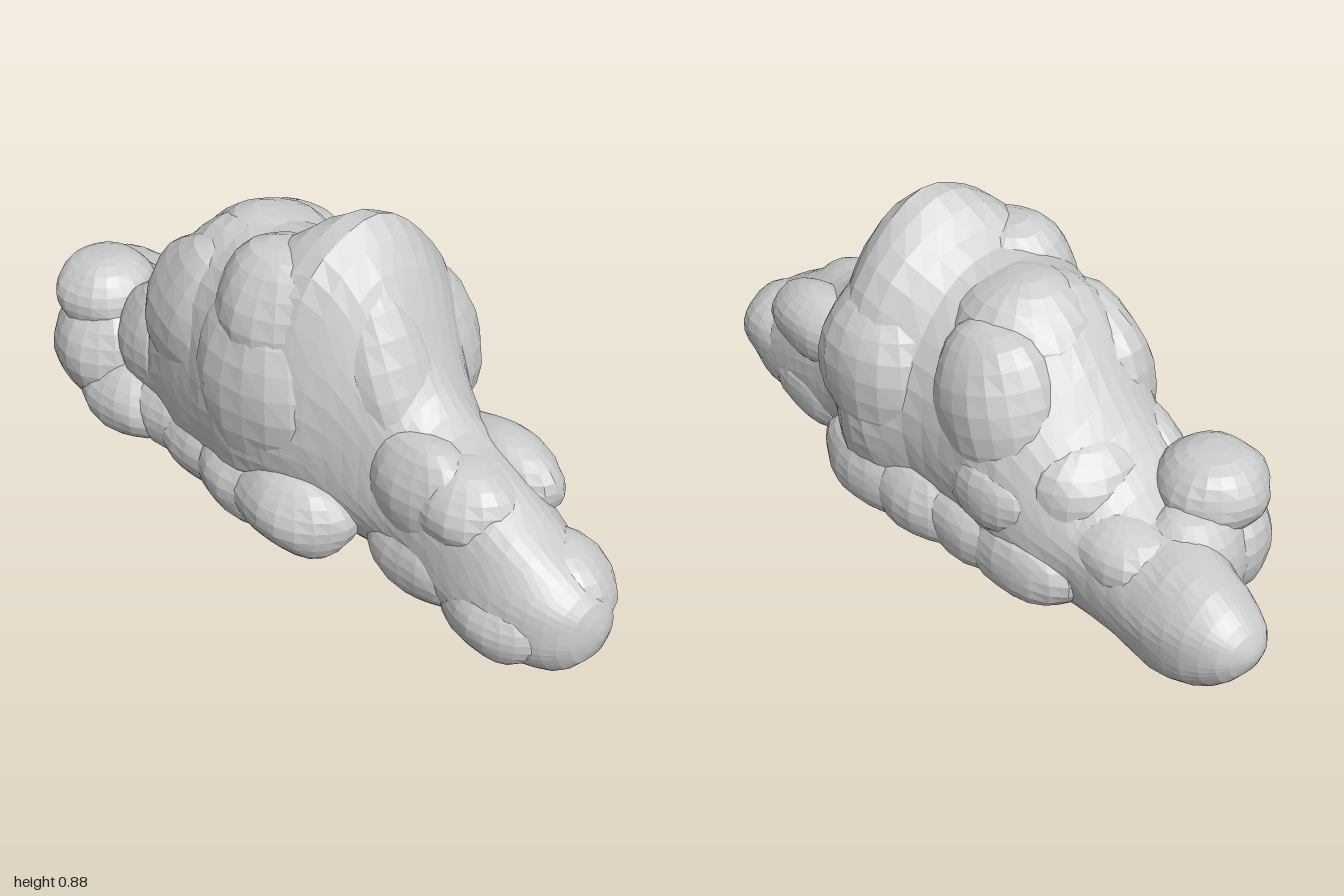
import * as THREE from 'three';

const material = new THREE.MeshStandardMaterial({ color: 0xcccccc, flatShading: true });

// Outline of the main mass from front to back: z, right, left, top, widest height, bottom
const stations = [
  [1, -0.01, 0.01, 0.16, 0.145, 0.13],
  [0.98, -0.08, 0.06, 0.225, 0.145, 0.07],
  [0.93, -0.13, 0.1, 0.27, 0.15, 0.025],
  [0.85, -0.165, 0.13, 0.325, 0.15, 0.008],
  [0.75, -0.18, 0.15, 0.385, 0.16, 0.015],
  [0.65, -0.18, 0.165, 0.435, 0.19, 0.025],
  [0.55, -0.175, 0.175, 0.465, 0.22, 0.035],
  [0.46, -0.17, 0.18, 0.53, 0.24, 0.035],
  [0.38, -0.185, 0.2, 0.65, 0.3, 0.035],
  [0.3, -0.22, 0.26, 0.79, 0.36, 0.03],
  [0.2, -0.27, 0.315, 0.885, 0.39, 0.03],
  [0.1, -0.305, 0.315, 0.855, 0.39, 0.04],
  [0, -0.32, 0.265, 0.785, 0.37, 0.045],
  [-0.12, -0.3, 0.25, 0.77, 0.35, 0.04],
  [-0.22, -0.285, 0.25, 0.755, 0.34, 0.035],
  [-0.32, -0.26, 0.245, 0.68, 0.31, 0.035],
  [-0.42, -0.24, 0.215, 0.555, 0.27, 0.025],
  [-0.52, -0.245, 0.185, 0.44, 0.24, 0.015],
  [-0.64, -0.2, 0.175, 0.36, 0.21, 0.012],
  [-0.77, -0.11, 0.18, 0.345, 0.19, 0.025],
  [-0.88, -0.07, 0.17, 0.32, 0.19, 0.06],
  [-0.96, -0.03, 0.135, 0.275, 0.2, 0.12],
  [-0.99, 0.01, 0.09, 0.235, 0.2, 0.165],
  [-1, 0.04, 0.06, 0.21, 0.2, 0.19],
];

// Skin over the smoothed stations, gently rippled, closed at both ends
function bodyGeometry() {
  const sides = 40;
  const ringCount = 2 * stations.length - 1;
  const outline = new THREE.CubicInterpolant(stations.map((_, i) => i), stations.flat(), 6);
  const positions = [];
  const index = [];
  for (let i = 0; i < ringCount; i++) {
    const [z, right, left, top, middle, bottom] = outline.evaluate(i / 2);
    for (let j = 0; j < sides; j++) {
      const a = (j / sides) * Math.PI * 2;
      const [c, s] = [Math.cos(a), Math.sin(a)];
      const ripple = 1 + 0.025 * Math.sin(5 * a + 9 * z) * Math.cos(14 * z + 2 * a);
      const height = s > 0 ? top - middle : middle - bottom;
      const wide = s > 0 ? c : Math.sign(c) * Math.abs(c) ** 0.8;
      const lean = s > 0 ? -0.07 * s * s * height : 0;
      positions.push((left + right) / 2 + (left - right) / 2 * wide * ripple + lean, middle + height * s * ripple, z);
      if (i + 1 < ringCount) {
        const [p, q] = [i * sides + j, i * sides + (j + 1) % sides];
        index.push(p, p + sides, q, q, p + sides, q + sides);
      }
    }
  }
  // Blunt end caps
  const end = (ringCount - 1) * sides;
  for (let j = 1; j < sides - 1; j++) index.push(0, j, j + 1, end, end + j + 1, end + j);
  const geometry = new THREE.BufferGeometry();
  geometry.setAttribute('position', new THREE.Float32BufferAttribute(positions, 3));
  geometry.setIndex(index);
  geometry.computeVertexNormals();
  return geometry;
}

// Faceted lump: an ellipsoid whose surface swells gently by a sine rule
function lump(parent, name, [x, y, z], [rx, ry, rz], tilt = 0) {
  const geometry = new THREE.SphereGeometry(1, 20, 13);
  const p = geometry.attributes.position;
  const seed = x * 17 + y * 29 + z * 11;
  const v = new THREE.Vector3();
  for (let i = 0; i < p.count; i++) {
    v.fromBufferAttribute(p, i);
    const swell = 1 + 0.03 * Math.sin(5 * v.x + seed) * Math.cos(4 * v.y - seed)
      + 0.02 * Math.sin(6 * v.z + 3 * v.y + seed * 2);
    p.setXYZ(i, v.x * swell * rx, v.y * swell * ry, v.z * swell * rz);
  }
  geometry.computeVertexNormals();
  const mesh = new THREE.Mesh(geometry, material);
  mesh.name = name;
  mesh.position.set(x, y, z);
  mesh.rotation.x = tilt;
  parent.add(mesh);
}

function section(root, name, lumps) {
  const group = new THREE.Group();
  group.name = name;
  lumps.forEach((entry) => lump(group, ...entry));
  root.add(group);
}

export function createModel() {
  const root = new THREE.Group();
  root.name = 'lumpyMound';

  const body = new THREE.Mesh(bodyGeometry(), material);
  body.name = 'body';
  root.add(body);

  // Swellings that break up the tall central mass
  section(root, 'mound', [
    ['frontRidge', [-0.04, 0.53, 0.32], [0.125, 0.29, 0.125], -0.42],
    ['leftDome', [0.16, 0.465, 0.165], [0.178, 0.24, 0.205]],
    ['rightDome', [-0.165, 0.46, 0.05], [0.168, 0.27, 0.22]],
    ['rightShoulder', [-0.13, 0.61, 0.06], [0.165, 0.205, 0.19]],
    ['crest', [-0.01, 0.6, -0.13], [0.18, 0.18, 0.21]],
    ['backLeftBulge', [0.12, 0.5, -0.2], [0.145, 0.22, 0.18], 0.25],
    ['backRightBulge', [-0.14, 0.48, -0.2], [0.15, 0.24, 0.21], 0.25],
    ['backLeftLump', [0.165, 0.32, -0.26], [0.11, 0.12, 0.15]],
    ['backStep', [0.03, 0.35, -0.42], [0.17, 0.145, 0.13]],
    ['backRightKnob', [-0.14, 0.32, -0.4], [0.12, 0.17, 0.15]],
  ]);

  // Bumps over the long blunt front end
  section(root, 'snout', [
    ['nose', [0.02, 0.185, 0.82], [0.132, 0.13, 0.165]],
    ['brow', [-0.05, 0.33, 0.61], [0.13, 0.12, 0.16]],
    ['leftCheek', [0.095, 0.345, 0.57], [0.1, 0.105, 0.19]],
    ['rightCheek', [-0.09, 0.33, 0.5], [0.1, 0.15, 0.18]],
    ['rightFoot', [-0.115, 0.12, 0.77], [0.085, 0.095, 0.15]],
    ['leftJaw', [0.085, 0.14, 0.58], [0.095, 0.11, 0.2]],
    ['rightJaw', [-0.1, 0.15, 0.53], [0.095, 0.115, 0.18]],
  ]);

  // Raised lump and foot on the right of the low rear end
  section(root, 'tail', [
    ['tailKnob', [-0.16, 0.38, -0.64], [0.14, 0.11, 0.14]],
    ['tailSide', [-0.175, 0.23, -0.61], [0.15, 0.175, 0.17]],
    ['tailRear', [-0.06, 0.24, -0.68], [0.15, 0.15, 0.125]],
    ['tailFoot', [-0.195, 0.145, -0.48], [0.13, 0.115, 0.18]],
    ['tailTop', [0.06, 0.26, -0.58], [0.12, 0.105, 0.17]],
  ]);

  // Long overlapping swellings along the foot of the mound
  const skirt = [];
  for (let i = 0; i < 4; i++) {
    const z = 0.18 - i * 0.17;
    const reach = 0.17 + 0.025 * Math.cos(i * 1.1);
    skirt.push(['leftSkirtLump', [reach, 0.155, z], [0.115, 0.12, 0.2]]);
    skirt.push(['rightSkirtLump', [-reach - 0.01, 0.15 + 0.01 * Math.cos(i * 2), z], [0.125, 0.12, 0.19]]);
  }
  section(root, 'skirt', skirt);
  return root;
}
